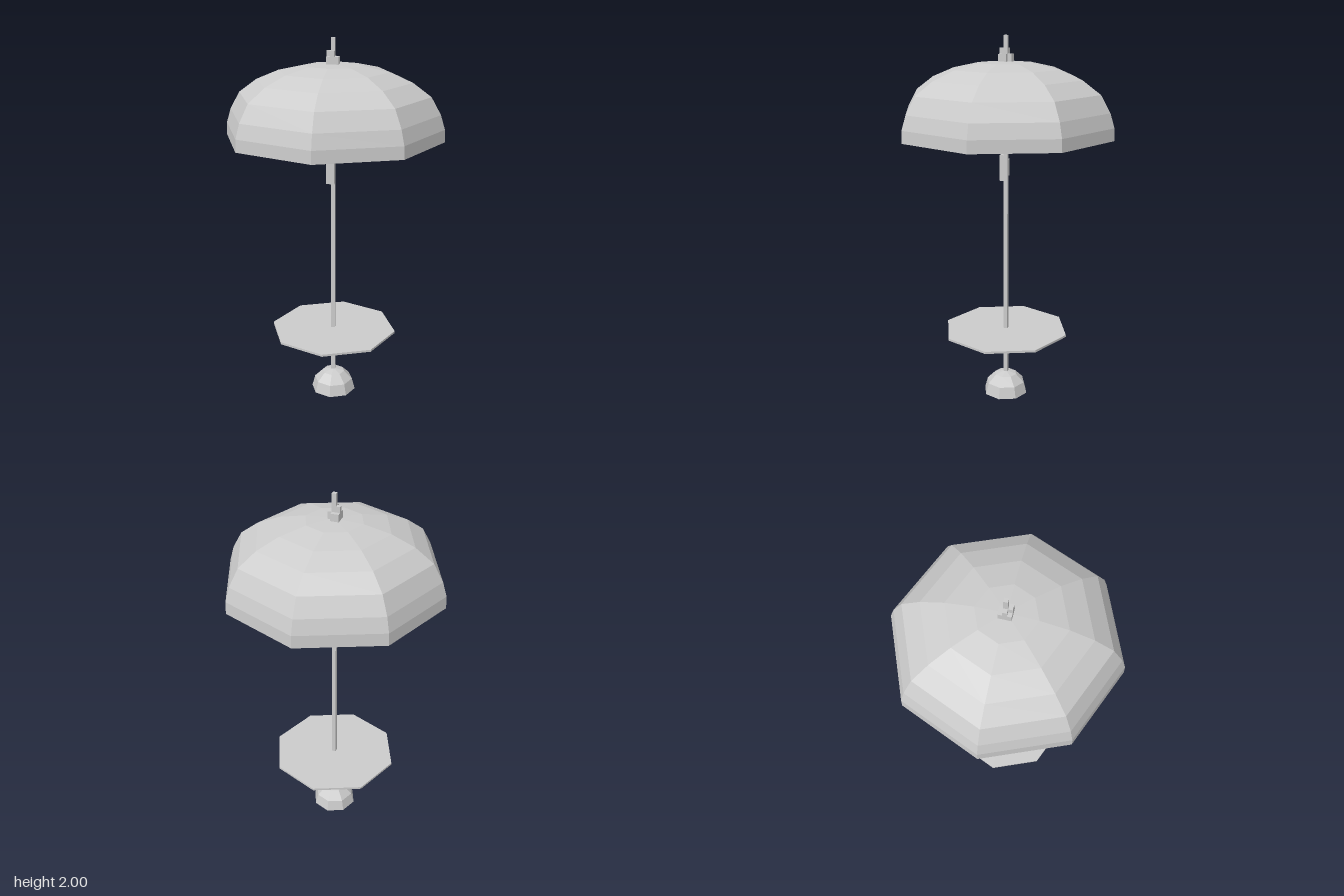
import * as THREE from 'three';

const CELL = 0.0215; // width of the pole and of each clamp block

export function createModel() {
  const model = new THREE.Group();
  const solid = new THREE.MeshStandardMaterial({ color: 0xcccccc, flatShading: true });
  const open = new THREE.MeshStandardMaterial({ color: 0xcccccc, flatShading: true, side: THREE.DoubleSide });

  const add = (parent, name, geometry, material = solid) => {
    const mesh = new THREE.Mesh(geometry, material);
    mesh.name = name;
    parent.add(mesh);
    return mesh;
  };
  const lathe = (points) => new THREE.LatheGeometry(points.map(([r, y]) => new THREE.Vector2(r, y)), 8);

  // Square column standing on a cell around the pole, from y0 to y1
  const column = (parent, name, i, k, y0, y1) => {
    const mesh = add(parent, name, new THREE.BoxGeometry(CELL, y1 - y0, CELL));
    mesh.position.set(i * CELL - 0.0015, (y0 + y1) / 2, k * CELL - 0.0015);
  };

  // Canopy: eight-sided dome with a thin wall, closed at the rim
  const outer = [[0.583, 1.48], [0.58, 1.545], [0.557, 1.62], [0.506, 1.71],
    [0.41, 1.78], [0.29, 1.83], [0.15, 1.86], [0, 1.868]];
  const inner = [[0, 1.848], [0.147, 1.84], [0.282, 1.811], [0.398, 1.763],
    [0.489, 1.697], [0.537, 1.614], [0.56, 1.542], [0.563, 1.48]];
  add(model, 'canopy', lathe([...outer, ...inner, outer[0]]));

  // Pole
  column(model, 'pole', 0, 0, 0.11, 2);

  // Round table with eight sides
  const table = add(model, 'tableTop', new THREE.CylinderGeometry(0.35, 0.35, 0.012, 8));
  table.position.y = 0.381;

  // Hollow base dome, open below
  const dome = [];
  for (let i = 0; i <= 3; i++) {
    const a = (i / 3) * Math.PI / 2;
    dome.push([0.125 * Math.cos(a), 0.125 * Math.sin(a)]);
  }
  add(model, 'base', lathe(dome), open);

  // Stepped collar holding the canopy
  const collar = new THREE.Group();
  collar.name = 'collar';
  const heights = [[-1, -1, 1.905], [0, -1, 1.905], [-1, 0, 1.935], [1, 0, 1.905],
    [-1, 1, 1.905], [0, 1, 1.935], [1, 1, 1.905]];
  for (const [i, k, top] of heights) column(collar, 'collarBlock', i, k, 1.86, top);
  model.add(collar);

  // Crank housing wrapped round one corner of the pole
  const crank = new THREE.Group();
  crank.name = 'crank';
  column(crank, 'crankCorner', -1, 1, 1.235, 1.375);
  column(crank, 'crankSide', -1, 0, 1.26, 1.35);
  column(crank, 'crankFront', 0, 1, 1.26, 1.35);
  for (const y of [1.235, 1.35]) column(crank, 'crankEnd', 0, 1, y, y + 0.025);
  model.add(crank);

  return model;
}
